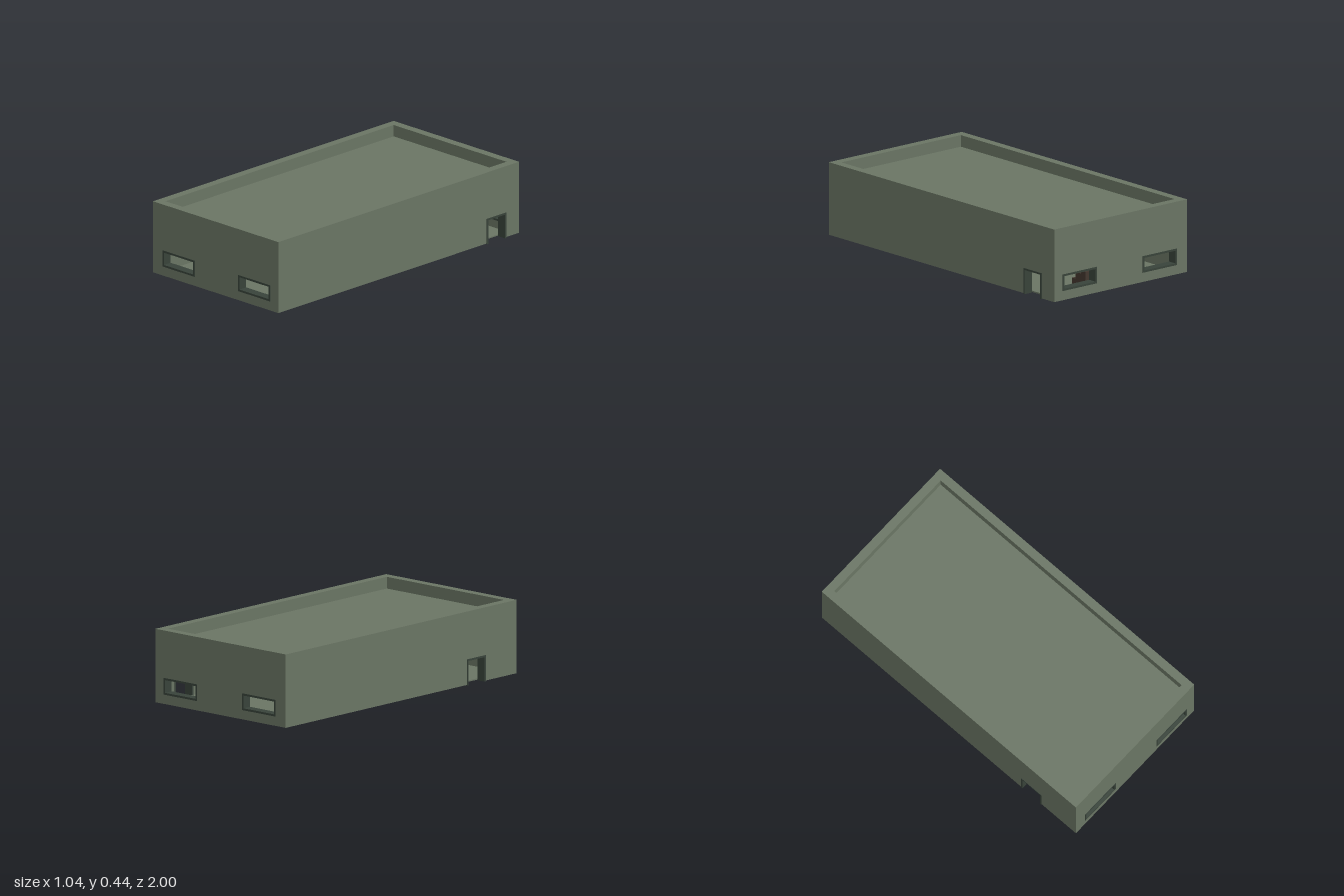
import * as THREE from 'three';

const W = 0.515, L = 1, BASE = 0.004, TOP = 0.443, T = 0.052;
const wallMat = new THREE.MeshStandardMaterial({ color: 0x6a7564 });
const frameMat = new THREE.MeshStandardMaterial({ color: 0x38433a });
const crateMat = new THREE.MeshStandardMaterial({ color: 0x43372f });

function rect(Type, x0, x1, y0, y1) {
  const p = new Type();
  p.moveTo(x0, y0);
  p.lineTo(x1, y0);
  p.lineTo(x1, y1);
  p.lineTo(x0, y1);
  p.closePath();
  return p;
}

function extrude(shape, depth, mat, name) {
  const mesh = new THREE.Mesh(new THREE.ExtrudeGeometry(shape, { depth, bevelEnabled: false }), mat);
  mesh.name = name;
  return mesh;
}

function box(name, mat, [x0, x1], [y0, y1], [z0, z1]) {
  const mesh = new THREE.Mesh(new THREE.BoxGeometry(x1 - x0, y1 - y0, z1 - z0), mat);
  mesh.position.set((x0 + x1) / 2, (y0 + y1) / 2, (z0 + z1) / 2);
  mesh.name = name;
  return mesh;
}

// Wall built facing +z from its inner face, with framed windows and doors, then turned into place
function wall(name, half, angle, dist, windows, doors) {
  const g = new THREE.Group();
  g.name = name;
  const shape = new THREE.Shape();
  shape.moveTo(-half, BASE);
  for (const [a, b] of doors) {
    shape.lineTo(a, BASE);
    shape.lineTo(a, 0.155);
    shape.lineTo(b, 0.155);
    shape.lineTo(b, BASE);
    const d = new THREE.Shape();
    const outline = [[a, 0], [a + 0.011, 0], [a + 0.011, 0.146], [b - 0.011, 0.146],
      [b - 0.011, 0], [b, 0], [b, 0.157], [a, 0.157]];
    d.setFromPoints(outline.map(([x, y]) => new THREE.Vector2(x, y)));
    const frame = extrude(d, T + 0.005, frameMat, 'doorFrame');
    frame.position.z = -0.002;
    g.add(frame);
  }
  shape.lineTo(half, BASE);
  shape.lineTo(half, TOP);
  shape.lineTo(-half, TOP);
  shape.closePath();
  for (const [a, b] of windows) {
    shape.holes.push(rect(THREE.Path, a + 0.002, b - 0.002, 0.062, 0.158));
    const f = rect(THREE.Shape, a, b, 0.06, 0.16);
    f.holes.push(rect(THREE.Path, a + 0.012, b - 0.012, 0.072, 0.148));
    const frame = extrude(f, T + 0.004, frameMat, 'windowFrame');
    frame.position.z = -0.002;
    g.add(frame);
  }
  g.add(extrude(shape, T, wallMat, name + 'Panel'));
  g.rotation.y = angle;
  g.position.set(Math.sin(angle) * (dist - T), 0, Math.cos(angle) * (dist - T));
  return g;
}

export function createModel() {
  const model = new THREE.Group();
  model.name = 'building';

  // Outer walls
  const windows = [[-0.435, -0.17], [0.185, 0.45]];
  const mirrored = windows.map(([a, b]) => [-b, -a]);
  model.add(
    wall('frontWall', W, 0, L, windows, []),
    wall('backWall', W, Math.PI, L, mirrored, []),
    wall('leftWall', L - T, Math.PI / 2, W, [], [[0.73, 0.89]]),
    wall('rightWall', L - T, -Math.PI / 2, W, [], [[0.57, 0.73]])
  );

  // Floor and sunken roof slab
  const innerX = [-W + T, W - T], innerZ = [-L + T, L - T];
  model.add(
    box('floor', wallMat, innerX, [BASE, 0.012], innerZ),
    box('roof', wallMat, innerX, [0.33, 0.373], innerZ)
  );

  // Stacked crates inside
  const crates = [
    [[-0.045, 0.155], [0, 0.06], [-0.21, -0.09]],
    [[-0.04, 0.02], [0, 0.04], [-0.27, -0.21]],
    [[-0.46, -0.345], [0, 0.065], [0, 0.07]],
    [[-0.46, -0.38], [0.065, 0.095], [0, 0.07]],
    [[-0.03, 0.21], [0.01, 0.06], [-0.93, -0.81]],
    [[0, 0.21], [0.06, 0.1], [-0.93, -0.84]],
    [[0.05, 0.21], [0.1, 0.117], [-0.93, -0.89]],
    [[0.27, 0.45], [0.01, 0.117], [0.1, 0.25]],
    [[0.345, 0.42], [0.117, 0.155], [0.13, 0.22]],
  ];
  const stack = new THREE.Group();
  stack.name = 'crates';
  for (const c of crates) stack.add(box('crate', crateMat, ...c));
  model.add(stack);
  return model;
}
